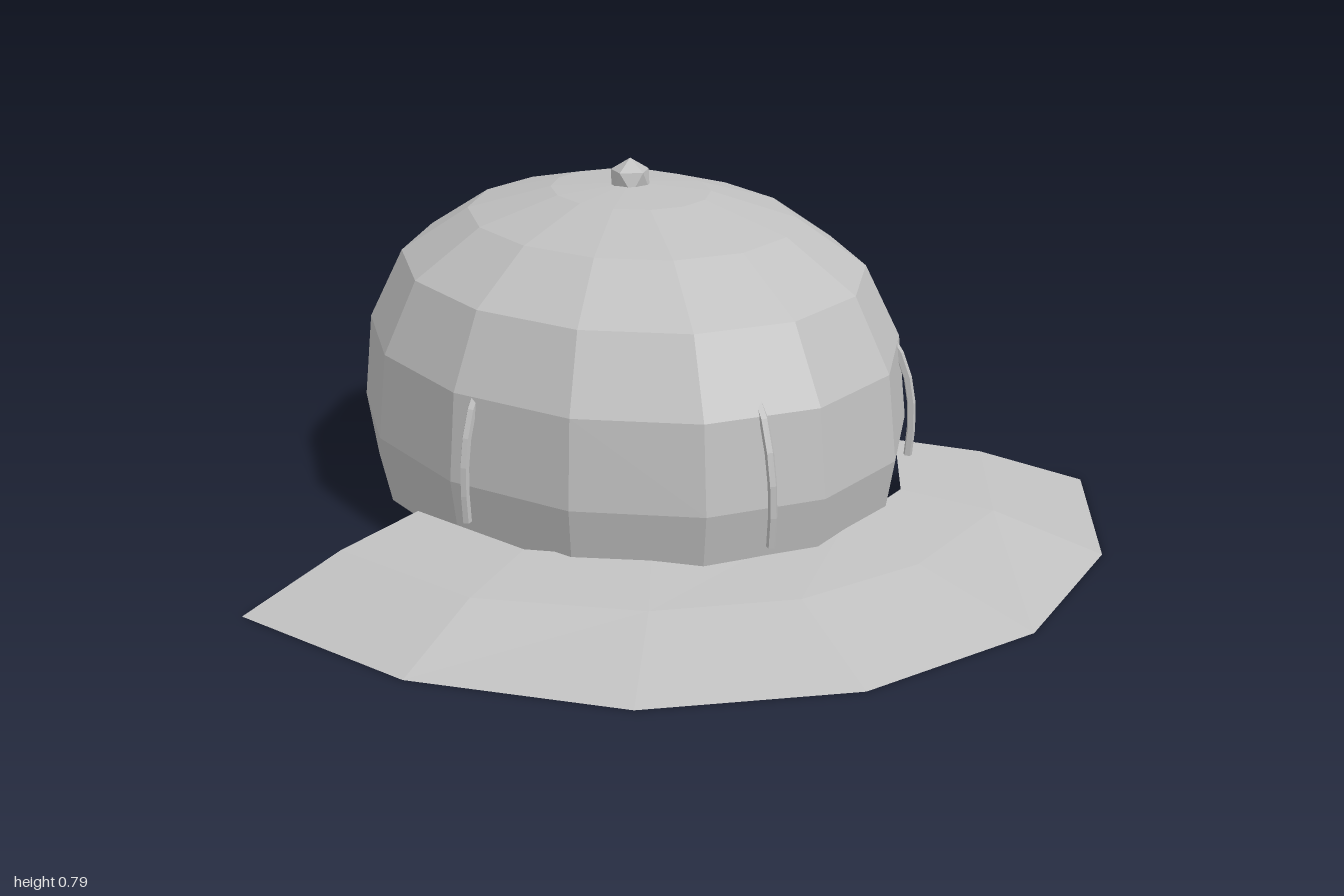
import * as THREE from 'three';

const CROWN_Z = -0.22;
const RX = 0.6, RZ = 0.74;

// Facet a geometry so every face keeps its own flat normal
function faceted(geometry) {
  const flat = geometry.index ? geometry.toNonIndexed() : geometry;
  flat.computeVertexNormals();
  return flat;
}

// Mirror the +x half of a brim row; the last point lies on the centre line
function mirrorRow(half) {
  const other = half.slice(0, -1).reverse().map(([x, y, z]) => [-x, y, z]);
  return [...half, ...other];
}

// Join rows of equal length into a sheet facing up
function sheet(rows) {
  const n = rows[0].length, index = [];
  for (let r = 0; r < rows.length - 1; r++) {
    for (let i = 0; i < n - 1; i++) {
      const a = r * n + i, b = a + 1, c = a + n, d = c + 1;
      index.push(a, b, c, b, d, c);
    }
  }
  const geometry = new THREE.BufferGeometry();
  geometry.setAttribute('position', new THREE.Float32BufferAttribute(rows.flat(2), 3));
  geometry.setIndex(index);
  return geometry;
}

export function createModel() {
  const cap = new THREE.Group();
  cap.name = 'cap';
  const cloth = new THREE.MeshStandardMaterial({
    color: 0xc0c0c0, flatShading: true, side: THREE.DoubleSide,
  });
  cloth.name = 'light grey cloth';

  const add = (name, geometry) => {
    const mesh = new THREE.Mesh(faceted(geometry), cloth);
    mesh.name = name;
    cap.add(mesh);
    return mesh;
  };

  // Crown: open oval dome with fourteen sides
  const profile = [
    [0.96, 0.06], [1, 0.21], [0.97, 0.4], [0.845, 0.56],
    [0.595, 0.665], [0.29, 0.72], [0, 0.735],
  ].map(([r, y]) => new THREE.Vector2(r, y));
  const dome = new THREE.LatheGeometry(profile, 14, Math.PI / 14);
  dome.scale(RX, 1, RZ);
  add('crown', dome).position.z = CROWN_Z;

  // Brim: inner, middle and outer edge
  const inner = mirrorRow([[0.58, 0.11, -0.01], [0.44, 0.105, 0.27], [0.22, 0.105, 0.42], [0, 0.1, 0.465]]);
  const middle = mirrorRow([[0.77, 0.077, 0.06], [0.6, 0.077, 0.4], [0.3, 0.077, 0.6], [0, 0.077, 0.665]]);
  const outer = mirrorRow([[1, 0, 0.14], [0.785, 0, 0.55], [0.43, 0, 0.84], [0, 0, 0.94]]);
  // rows run from +x to -x, so list them from the outside in
  add('brim', sheet([outer, middle, inner]));

  // Seams: cords that stand off the lower crown and run up inside to the button
  const seam = [
    [1.005, 0.135], [1.018, 0.23], [1, 0.31], [0.955, 0.39],
    [0.75, 0.55], [0.42, 0.66], [0, 0.71],
  ];
  for (const [name, angle] of [['frontSeam', 0], ['leftSeam', Math.PI / 3], ['rightSeam', -Math.PI / 3]]) {
    const path = new THREE.CurvePath();
    const points = seam.map(([r, y]) => new THREE.Vector3(
      RX * r * Math.sin(angle), y, CROWN_Z + RZ * r * Math.cos(angle)));
    for (let i = 0; i < points.length - 1; i++) path.add(new THREE.LineCurve3(points[i], points[i + 1]));
    add(name, new THREE.TubeGeometry(path, 16, 0.01, 5, false));
  }

  // Button: twenty-sided bead, one corner up
  const bead = new THREE.IcosahedronGeometry(0.05, 0);
  bead.rotateZ(-Math.atan(2 / (1 + Math.sqrt(5))));
  add('button', bead).position.set(0, 0.74, CROWN_Z);

  return cap;
}
